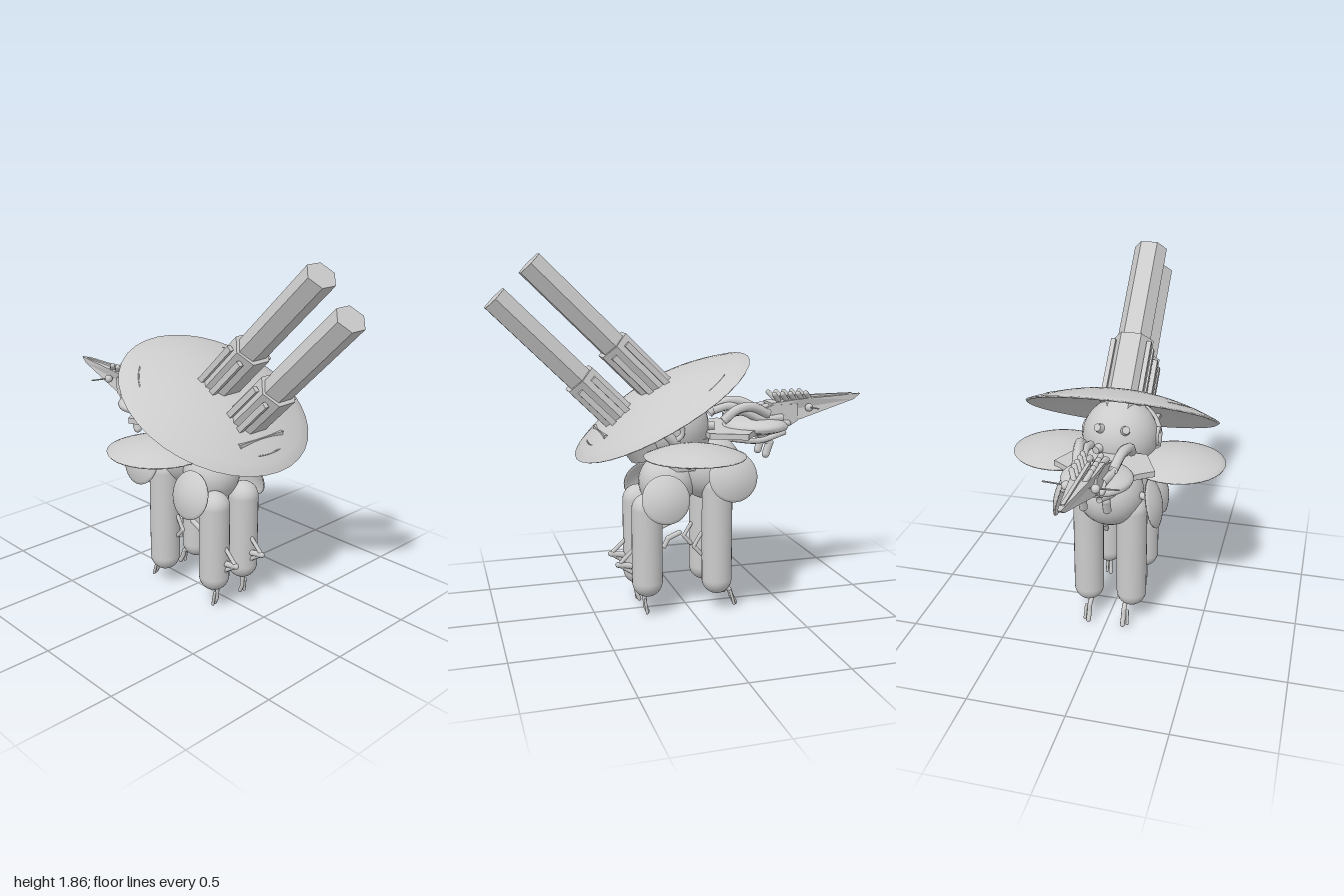
import * as THREE from 'three';

const smooth = new THREE.MeshStandardMaterial({ color: 0xcccccc, side: THREE.DoubleSide });
const flat = new THREE.MeshStandardMaterial({ color: 0xcccccc, flatShading: true, side: THREE.DoubleSide });

// Thin shallow dome opening downward: rim radius r, rise h, wall t
function domeGeometry(r, h, t, segments = 36) {
  const points = [], n = 9;
  for (let i = 0; i <= n; i++) points.push(new THREE.Vector2(r * 0.98 * i / n, (h - t) * (1 - (i / n) ** 2)));
  for (let i = n; i >= 0; i--) points.push(new THREE.Vector2(r * i / n, 0.008 + (h - 0.008) * (1 - (i / n) ** 2)));
  return new THREE.LatheGeometry(points, segments);
}

export function createModel() {
  const model = new THREE.Group();

  function add(name, geometry, pos, { rot = [0, 0, 0], scale = [1, 1, 1], mat = smooth, parent = model } = {}) {
    const mesh = new THREE.Mesh(geometry, mat);
    mesh.name = name;
    mesh.position.set(...pos);
    mesh.rotation.set(...rot);
    mesh.scale.set(...scale);
    parent.add(mesh);
    return mesh;
  }
  const ball = (r) => new THREE.SphereGeometry(r, 28, 18);
  // Jointed rod through a list of points
  function rod(name, points, r) {
    const v = points.map((p) => new THREE.Vector3(...p));
    for (let i = 0; i < v.length - 1; i++) {
      const dir = v[i + 1].clone().sub(v[i]);
      const mesh = add(name, new THREE.CapsuleGeometry(r, dir.length(), 4, 8), v[i].clone().add(v[i + 1]).multiplyScalar(0.5).toArray());
      mesh.quaternion.setFromUnitVectors(new THREE.Vector3(0, 1, 0), dir.normalize());
    }
  }
  const tube = (name, points, r) => add(name, new THREE.TubeGeometry(
    new THREE.CatmullRomCurve3(points.map((p) => new THREE.Vector3(...p))), 20, r, 8), [0, 0, 0]);

  // Tilted dish shield with three slits
  const dish = new THREE.Group();
  dish.name = 'dishShield';
  dish.position.set(0, 1.08, 0.125);
  dish.rotation.x = Math.PI / 6;
  model.add(dish);
  add('dish', domeGeometry(0.515, 0.125, 0.03), [0, 0, 0], { parent: dish });
  for (const a of [0, 2.2, -2.2]) {
    const slit = new THREE.Group();
    slit.rotation.y = a;
    dish.add(slit);
    add('dishSlit', new THREE.TorusGeometry(0.42, 0.004, 4, 16, 0.38), [0, 0.045, 0],
      { rot: [Math.PI / 2, 0, Math.PI / 2 - 0.19], parent: slit });
  }

  // Twin hexagonal barrels with sleeves and side rails
  const hex = (r, len) => new THREE.CylinderGeometry(r, r, len, 6, 1, false, Math.PI / 2).translate(0, -len / 2, 0);
  for (const [y, z, sleeveLength] of [[1.81, 0.785, 0.48], [1.645, 0.957, 0.46]]) {
    const gun = new THREE.Group();
    gun.name = 'barrelAssembly';
    gun.position.set(0, y, z);
    gun.rotation.x = Math.PI / 4;
    model.add(gun);
    add('barrel', hex(0.09, 0.98), [0, 0, 0], { scale: [1, 1, 0.83], mat: flat, parent: gun });
    add('barrelSleeve', hex(0.108, sleeveLength), [0, -0.57, 0], { scale: [1, 1, 0.9], mat: flat, parent: gun });
    for (const s of [-1, 1]) {
      for (const zz of [-0.045, 0.045]) {
        add('sleeveRail', new THREE.BoxGeometry(0.025, 0.36, 0.03), [s * 0.097, -0.78, zz], { mat: flat, parent: gun });
      }
    }
  }

  // Round head beneath the dish with rear lenses and a side joint
  add('head', ball(0.2), [0, 0.98, 0.08]);
  add('headRing', new THREE.TorusGeometry(0.19, 0.025, 8, 32), [0, 0.95, 0.13], { rot: [0.75, 0, 0] });
  add('gunMount', new THREE.BoxGeometry(0.3, 0.02, 0.36), [0, 0.965, 0.28], { mat: flat });
  add('mountCradle', new THREE.CylinderGeometry(0.17, 0.13, 0.16, 16), [0, 0.92, 0.2], { rot: [0.4, 0, 0] });
  for (const s of [-1, 1]) {
    add('sideJoint', new THREE.TorusGeometry(0.04, 0.014, 8, 20), [s * 0.195, 0.98, 0.11], { rot: [0, Math.PI / 2, 0] });
    for (const pitch of [0, 0.55]) {
      const dir = new THREE.Vector3(s * 0.35, Math.sin(pitch), -Math.cos(pitch)).normalize();
      const lens = add('rearLens', new THREE.CylinderGeometry(0.02, 0.028, 0.05, 12),
        dir.clone().multiplyScalar(0.205).add(new THREE.Vector3(0, 0.98, 0.08)).toArray());
      lens.quaternion.setFromUnitVectors(new THREE.Vector3(0, 1, 0), dir);
    }
  }

  // Body
  add('frontBody', ball(0.15), [0, 0.685, 0.1]);
  add('rearBody', ball(0.175), [0, 0.75, -0.13]);
  add('waist', new THREE.CylinderGeometry(0.16, 0.14, 0.16, 20), [0, 0.84, 0.03]);

  for (const s of [-1, 1]) {
    // Side canopy, supported by struts
    add('sideCanopy', domeGeometry(0.255, 0.065, 0.012), [s * 0.315, 0.872, 0.04]);
    rod('canopyStrut', [[s * 0.13, 0.83, 0.05], [s * 0.22, 0.83, 0.05], [s * 0.3, 0.91, 0.05]], 0.014);
    rod('canopyStrut', [[s * 0.14, 0.78, 0.02], [s * 0.25, 0.85, 0.0]], 0.012);

    // Domed hip guards, leaning out at the bottom
    add('frontHipGuard', domeGeometry(0.126, 0.045, 0.01, 28), [s * 0.2, 0.635, 0.16], { rot: [0, 0, -s * 1.28] });
    add('rearHipGuard', domeGeometry(0.13, 0.045, 0.01, 28), [s * 0.235, 0.74, -0.185], { rot: [0, 0, -s * 1.32] });
    rod('hipLink', [[s * 0.1, 0.7, 0.13], [s * 0.2, 0.66, 0.16]], 0.018);
    rod('hipLink', [[s * 0.12, 0.77, -0.15], [s * 0.24, 0.76, -0.185]], 0.018);

    // Capsule legs
    add('frontLeg', new THREE.CapsuleGeometry(0.08, 0.39, 10, 24), [s * 0.105, 0.375, 0.235]);
    add('rearLeg', new THREE.CapsuleGeometry(0.08, 0.5, 10, 24), [s * 0.118, 0.415, -0.14]);

    // Jointed claws
    const x = s * 0.095;
    rod('frontClaw', [[x, 0.36, 0.3], [x, 0.28, 0.385], [x, 0.23, 0.31], [x, 0.1, 0.25], [x, 0.04, 0.245], [x, 0.01, 0.232]], 0.011);
    rod('frontClawBrace', [[x, 0.28, 0.385], [x, 0.265, 0.3]], 0.016);
    rod('frontToe', [[s * 0.115, 0.08, 0.25], [s * 0.118, 0.01, 0.24]], 0.008);
    rod('innerClaw', [[x, 0.36, 0.14], [x, 0.4, 0.12], [x, 0.425, 0.06]], 0.014);
    rod('rearLegBrace', [[x, 0.41, -0.06], [x, 0.345, -0.02], [x, 0.3, -0.06]], 0.011);
    rod('rearClaw', [[x, 0.12, -0.17], [x, 0.085, -0.22], [x, 0.05, -0.23], [x, 0.01, -0.252]], 0.013);
    rod('rearToe', [[s * 0.115, 0.08, -0.22], [s * 0.118, 0.01, -0.24]], 0.008);
  }

  // Tapered rear collar
  const collar = new THREE.Shape();
  collar.moveTo(-0.26, 0.26);
  collar.quadraticCurveTo(-0.12, 0.34, -0.09, 0.44);
  collar.lineTo(0.09, 0.44);
  collar.quadraticCurveTo(0.12, 0.34, 0.26, 0.26);
  collar.lineTo(0.18, 0.08);
  collar.lineTo(-0.18, 0.08);
  add('rearCollar', new THREE.ExtrudeGeometry(collar, { depth: 0.03, bevelEnabled: false }), [0, 0.93, 0],
    { rot: [-Math.PI / 2, 0, 0], mat: flat });

  // Saddle behind the body
  add('saddle', ball(0.18), [0, 0.96, -0.39], { scale: [1, 0.28, 0.95] });
  add('saddleRim', new THREE.TorusGeometry(0.16, 0.018, 8, 32), [0, 0.955, -0.39], { rot: [Math.PI / 2, 0, 0] });
  for (const s of [-1, 1]) {
    tube('saddleArch', [[s * 0.12, 1.01, -0.17], [s * 0.125, 1.065, -0.24], [s * 0.11, 1.075, -0.33], [s * 0.09, 1.03, -0.43]], 0.025);
    tube('saddlePipe', [[s * 0.09, 1.03, -0.18], [s * 0.09, 1.05, -0.28], [s * 0.08, 1.0, -0.4], [s * 0.06, 1.0, -0.52]], 0.022);
    rod('tailGrip', [[s * 0.05, 0.92, -0.4], [s * 0.06, 0.87, -0.45], [s * 0.06, 0.81, -0.43]], 0.022);
    tube('underPipe', [[s * 0.1, 0.91, -0.22], [s * 0.09, 0.89, -0.38], [s * 0.05, 0.92, -0.54]], 0.016);
  }

  // Tail: stock and pointed blade
  function sideProfile(name, points, width, mat = flat) {
    const shape = new THREE.Shape(points.map(([z, y]) => new THREE.Vector2(-z, y)));
    const geometry = new THREE.ExtrudeGeometry(shape, { depth: width, bevelEnabled: false })
      .translate(0, 0, -width / 2).rotateY(Math.PI / 2);
    return add(name, geometry, [0, 0, 0], { mat });
  }
  sideProfile('tailStock', [[-0.35, 0.92], [-0.52, 0.93], [-0.61, 0.98], [-0.61, 1.07], [-0.47, 1.07], [-0.35, 1.03]], 0.12);
  const blade = sideProfile('tailBlade', [[-0.46, 1.03], [-0.62, 0.985], [-0.96, 1.075], [-1, 1.105], [-0.62, 1.095], [-0.46, 1.08]], 0.12);
  const p = blade.geometry.attributes.position;
  for (let i = 0; i < p.count; i++) p.setX(i, p.getX(i) * Math.min(1, 0.13 + (1 + p.getZ(i)) * 2.1));
  blade.geometry.computeVertexNormals();
  add('bladeRidge', new THREE.BoxGeometry(0.018, 0.02, 0.42), [0, 1.1, -0.74], { mat: flat });

  // Paired spines, side whiskers and knobs on the tail
  for (const s of [-1, 1]) {
    for (let i = 0; i < 5; i++) {
      const z = -0.48 - i * 0.045;
      rod('tailSpine', [[s * 0.022, 1.085, z - 0.035], [s * 0.045, 1.125, z]], 0.014);
    }
    rod('frontSpine', [[s * 0.03, 1.06, -0.44], [s * 0.04, 1.05, -0.37]], 0.018);
    rod('whisker', [[s * 0.04, 1.05, -0.67], [s * 0.18, 1.06, -0.675]], 0.004);
    add('whiskerKnob', ball(0.022), [s * 0.07, 1.05, -0.67]);
    rod('stockRail', [[s * 0.065, 0.97, -0.3], [s * 0.065, 0.97, -0.55]], 0.018);
  }
  return model;
}
